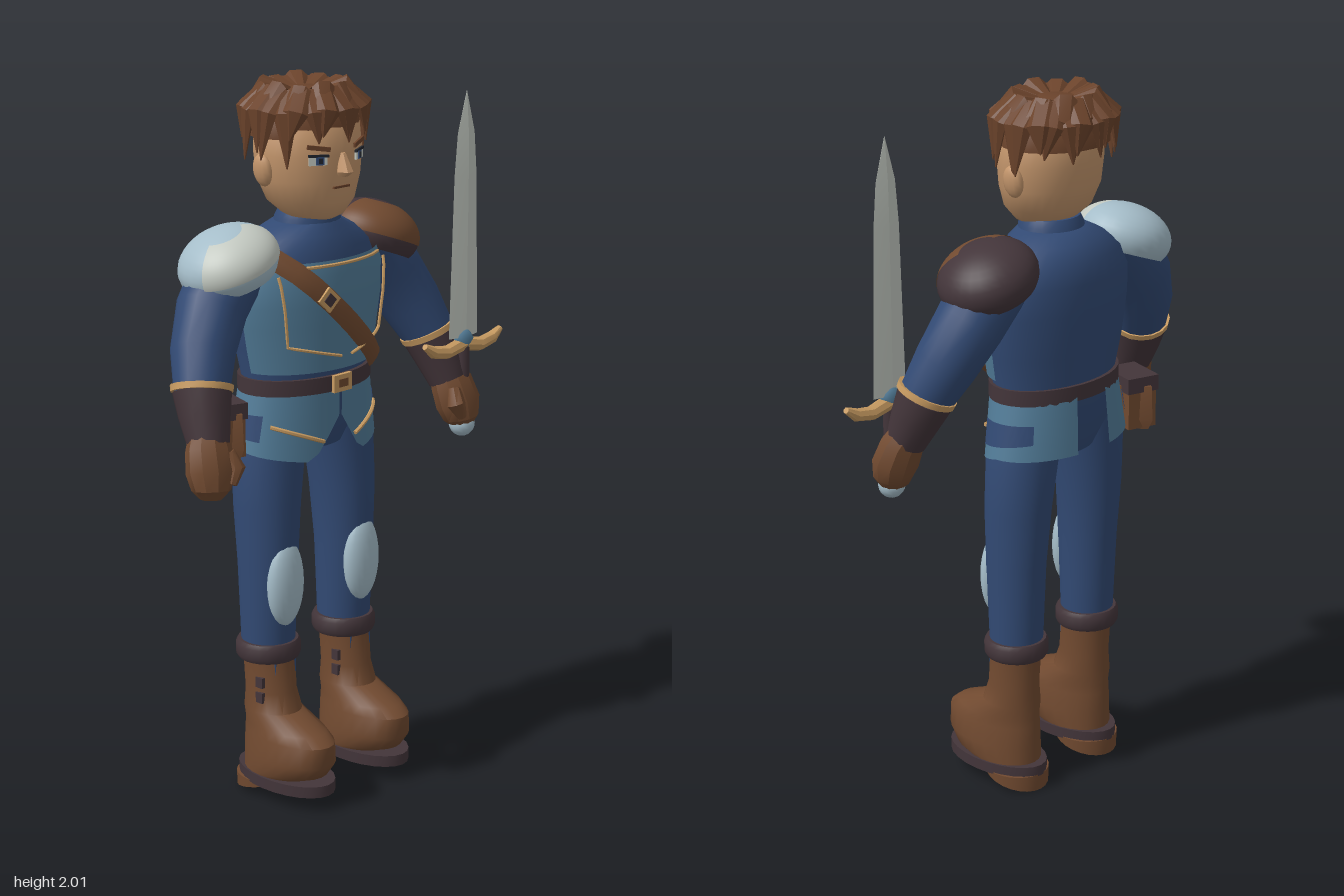
import * as THREE from 'three';
import { toCreasedNormals } from 'three/addons/utils/BufferGeometryUtils.js';

const V = (x, y, z) => new THREE.Vector3(x, y, z);
const { lerp, clamp } = THREE.MathUtils;

export function createModel() {
  const mat = {};
  const colours = {
    skin: 0xc4966c, hair: 0x6b432b, leather: 0x714a30, darkLeather: 0x43353a, navyCloth: 0x324a74,
    blueSteel: 0x527c98, paleSteel: 0xa5bdc9, bladeSteel: 0xc3c9c1, gold: 0xc99c62, ink: 0x20242c };
  for (const name in colours) {
    mat[name] = new THREE.MeshStandardMaterial({ color: colours[name], side: THREE.DoubleSide });
    mat[name].name = name;
  }
  const model = new THREE.Group();
  model.name = 'swordsman';
  const body = new THREE.Group();
  body.name = 'body';
  body.position.x = -0.05;
  model.add(body);

  const add = (name, geo, colour, pos, rot) => {
    const m = new THREE.Mesh(geo, mat[colour]);
    m.name = name;
    if (pos) m.position.set(...pos);
    if (rot) m.rotation.set(...rot);
    body.add(m);
    return m;
  };
  const box = (name, size, colour, pos, rot) => add(name, new THREE.BoxGeometry(...size), colour, pos, rot);

  // Skin a list of rings; closed rings get end caps
  function loft(rings, closed = true, crease = 0.75) {
    const n = rings[0].length, pts = rings.flat(), idx = [];
    for (let i = 0; i < rings.length - 1; i++) {
      for (let j = 0; j < (closed ? n : n - 1); j++) {
        const k = (j + 1) % n, a = i * n + j, b = i * n + k;
        idx.push(a, a + n, b, b, a + n, b + n);
      }
    }
    if (closed) [0, rings.length - 1].forEach((r, top) => {
      const c = V(0, 0, 0);
      rings[r].forEach(p => c.addScaledVector(p, 1 / n));
      const ci = pts.push(c) - 1;
      for (let j = 0; j < n; j++) {
        const a = r * n + j, b = r * n + (j + 1) % n;
        idx.push(ci, top ? b : a, top ? a : b);
      }
    });
    const g = new THREE.BufferGeometry().setFromPoints(pts);
    g.setIndex(idx);
    return toCreasedNormals(g, crease);
  }
  // Level ellipse; row = [y, rx, zCentre, rz]
  const ring = ([y, rx, zc, rz], cx = 0, n = 24, a0 = 0, a1 = Math.PI * 2) => {
    const full = a1 - a0 > 6.28;
    return Array.from({ length: full ? n : n + 1 }, (_, j) => {
      const a = lerp(a0, a1, j / n);
      return V(cx + rx * Math.cos(a), y, zc + rz * Math.sin(a));
    });
  };
  const stack = (rows, cx = 0, n = 24) => loft(rows.map(r => ring(r, cx, n)));
  // Elliptical section carried along points
  function sweep(pts, radii, n = 16, u = V(1, 0, 0), crease = 0.75) {
    return loft(pts.map((p, i) => {
      const t = pts[Math.min(i + 1, pts.length - 1)].clone().sub(pts[Math.max(i - 1, 0)]).normalize();
      const v = u.clone().cross(t).normalize(), w = t.clone().cross(v);
      const [ru, rv] = [].concat(radii[i] ?? radii[0], radii[i] ?? radii[0]);
      const rr = Array.isArray(radii[i] ?? radii[0]) ? (radii[i] ?? radii[0]) : [ru, rv];
      return Array.from({ length: n }, (_, j) => {
        const a = j / n * Math.PI * 2;
        return p.clone().addScaledVector(w, rr[0] * Math.cos(a)).addScaledVector(v, rr[1] * Math.sin(a));
      });
    }), true, crease);
  }
  // Interpolated row and front surface point of a stack
  const rowAt = (rows, y) => {
    let i = 0;
    while (i < rows.length - 2 && rows[i + 1][0] < y) i++;
    const t = clamp((y - rows[i][0]) / (rows[i + 1][0] - rows[i][0]), 0, 1);
    return rows[i].map((v, k) => lerp(v, rows[i + 1][k], t));
  };
  const onFront = (rows, x, y, off) => {
    const [, rx, zc, rz] = rowAt(rows, y);
    return V(x, y, zc + rz * Math.sqrt(Math.max(0.02, 1 - (x / rx) ** 2)) + off);
  };
  const drape = (rows, path, off) => {
    const out = [];
    for (let i = 0; i < path.length - 1; i++) for (let k = i ? 1 : 0; k <= 8; k++)
      out.push(onFront(rows, lerp(path[i][0], path[i + 1][0], k / 8), lerp(path[i][1], path[i + 1][1], k / 8), off));
    return out;
  };

  // Torso, collar, chest plate
  const torso = [[1.0, .13, -.05, .09], [1.08, .19, -.05, .12], [1.2, .205, -.045, .13], [1.3, .225, -.05, .14],
    [1.42, .247, -.05, .145], [1.5, .247, -.05, .145], [1.56, .22, -.05, .135], [1.6, .16, -.045, .115], [1.63, .1, -.035, .088]];
  add('torso', stack(torso, 0, 32), 'navyCloth');
  add('collar', stack([[1.6, .1, -.035, .09], [1.64, .095, -.032, .085], [1.66, .085, -.03, .078]]), 'navyCloth');
  const plateRows = [1.235, 1.3, 1.36, 1.42, 1.5, 1.54].map(y => {
    const r = rowAt(torso, y);
    return ring([y, r[1] + .008, r[2], r[3] + .02], 0, 28, .12, Math.PI - .12);
  });
  add('chestPlate', loft(plateRows, false), 'blueSteel');
  for (const s of [-1, 1])
    add('chestTrim', sweep(drape(torso, [[s * .2, 1.51], [s * .175, 1.315], [s * .02, 1.275]], .03), [.0045], 6, V(.1, .2, 1)), 'gold');
  add('chestTopTrim', sweep(drape(torso, [[-.17, 1.528], [.17, 1.528]], .022), [.005], 6, V(0, 1, 0)), 'gold');

  // Shoulder strap with buckle
  add('strap', sweep(drape(torso, [[-.2, 1.56], [.155, 1.23]], .03), [[.03, .007]], 8, V(.68, .73, 0)), 'leather');
  const bk = onFront(torso, -.075, 1.44, .038);
  box('strapBuckle', [.05, .05, .008], 'gold', bk.toArray(), [0, -.15, .8]);
  box('strapBuckleHole', [.028, .028, .008], 'darkLeather', [bk.x, bk.y, bk.z + .003], [0, -.15, .8]);

  // Belt
  add('belt', stack([[1.172, .217, -.045, .143], [1.216, .217, -.045, .143]], 0, 32), 'darkLeather');
  box('beltBuckle', [.068, .048, .012], 'gold', [0, 1.193, .1]);
  box('beltBuckleHole', [.036, .022, .008], 'leather', [0, 1.193, .104]);

  // Hip plates, their trim and side patches
  const hips = [[.98, .25, -.055, .147], [1.19, .212, -.045, .142]];
  const hipShell = (s, a0, a1, top, bottom, off) => loft([0, .5, 1].map(t => Array.from({ length: 21 }, (_, j) => {
    const a = lerp(a0, a1, j / 20), y = lerp(bottom(a), top, t), [, rx, zc, rz] = rowAt(hips, y);
    return V(s * (rx + off) * Math.cos(a), y, zc + (rz + off) * Math.sin(a));
  })), false);
  const hem = a => a > 1.2 ? lerp(.98, 1.1, (a - 1.2) / .35) : lerp(1.02, .98, clamp(a / 1.2, 0, 1));
  for (const s of [-1, 1]) {
    add('hipPlate', hipShell(s, -1.3, 1.55, 1.185, hem, 0), 'blueSteel');
    add('hipPatch', hipShell(s, -.65, .4, 1.12, a => 1.055 - a * .02, .005), 'navyCloth');
    add('hipTrim', sweep(drape(hips, [[s * .2, 1.09], [s * .06, 1.035]], .004), [.006], 6, V(0, 1, 0)), 'gold');
  }

  // Belt pouch
  add('pouch', stack([[1.0, .05, -.1, .07], [1.03, .062, -.1, .085], [1.13, .058, -.1, .08]], -.26, 4).rotateY(0), 'leather');
  box('pouchBody', [.09, .14, .12], 'leather', [-.265, 1.075, -.1], [0, -.3, 0]);
  box('pouchFlap', [.1, .045, .13], 'darkLeather', [-.265, 1.135, -.1], [0, -.3, 0]);

  for (const s of [-1, 1]) {
    // Leg and knee pad
    const leg = [[.42, .15, .075, .075, -.04], [.55, .15, .079, .08, -.04], [.68, .15, .082, .087, -.04], [.85, .147, .092, .096, -.045],
      [1.0, .135, .103, .1, -.05], [1.1, .115, .1, .1, -.05]];
    add('leg', loft(leg.map(([y, cx, rx, rz, zc]) => ring([y, rx, zc, rz], s * cx))), 'navyCloth');
    add('kneePad', new THREE.SphereGeometry(1, 20, 14), 'paleSteel', [s * .15, .633, .03]).scale.set(.063, .126, .036);

    // Boot, cuff, sole, heel wedge
    const bx = s * .15;
    add('boot', stack([[.06, .085, -.01, .1], [.09, .095, .03, .14], [.13, .097, .045, .155], [.19, .09, .045, .155],
      [.215, .084, .03, .138], [.255, .075, -.022, .088], [.31, .069, -.03, .075], [.42, .073, -.038, .072]], bx), 'leather');
    add('bootCuff', stack([[.403, .085, -.04, .085], [.415, .092, -.04, .091], [.445, .092, -.04, .091], [.457, .085, -.04, .085]], bx), 'darkLeather');
    add('sole', stack([[.045, .096, .032, .168], [.078, .097, .032, .168]], bx), 'darkLeather');
    const heel = ring([0, .088, -.04, .094], bx);
    heel.forEach(p => { p.y = (p.z + .134) * .24; });
    add('heelWedge', loft([heel, ring([.05, .09, -.04, .095], bx)]), 'leather');
    for (let i = 0; i < 4; i++)
      box('lace', [.011, .05 - (i % 2) * .012, .008], 'navyCloth', [bx - .033 + i * .023, .378, .031 - Math.abs(i - 1.5) * .005]);
    for (const y of [.3, .345]) box('bootClasp', [.012, .03, .025], 'darkLeather', [bx - .066, y, -.005]);

    // Sleeve, bracer, glove
    add('sleeve', sweep([V(s * .2, 1.56, -.06), V(s * .27, 1.52, -.06), V(s * .34, 1.43, -.05), V(s * .4, 1.33, -.02), V(s * .443, 1.23, .02)],
      [.085, .1, .096, .088, .074]), 'navyCloth');
    add('bracerTrim', sweep([V(s * .435, 1.252, .013), V(s * .44, 1.236, .018)], [.085, .083]), 'gold');
    add('bracer', sweep([V(s * .438, 1.24, .017), V(s * .452, 1.18, .04), V(s * .465, 1.105, .07)], [.08, .07, .056]), 'darkLeather');
    add('glove', sweep([V(s * .462, 1.135, .06), V(s * .472, 1.095, .077), V(s * .482, 1.04, .094), V(s * .488, .995, .102), V(s * .49, .972, .104)],
      [.05, [.066, .056], [.07, .06], [.054, .05], [.03, .03]], 10, V(1, 0, 0), .5), 'leather');
    add('thumb', sweep([V(s * .44, 1.09, .115), V(s * .43, 1.05, .135), V(s * .45, 1.01, .14)], [.02, .026, .014], 8), 'leather');

    // Pauldron with a worn front patch
    const [base, worn, p0, p1] = s < 0 ? ['paleSteel', 'bladeSteel', .1, .9] : ['darkLeather', 'leather', .02, .72];
    const dome = (r, ph0, ph1, th0, th1) => new THREE.SphereGeometry(r, 28, 12, ph0 * Math.PI, ph1 * Math.PI, th0 * Math.PI, th1 * Math.PI);
    for (const [name, g, c] of [['pauldron', dome(1, 0, 2, 0, .66), base], ['pauldronPatch', dome(1.012, p0, p1 - p0, .14, .38), worn]])
      add(name, g, c, [s * .272, 1.545, -.055], [0, 0, -s * .35]).scale.set(.142, .095, .135);
  }

  // Head, ears, nose
  const head = [[1.637, .045, .0, .05], [1.65, .085, -.008, .08], [1.69, .128, -.02, .112], [1.75, .152, -.028, .127], [1.82, .16, -.03, .132],
    [1.89, .155, -.035, .13], [1.94, .12, -.04, .1], [1.965, .04, -.04, .04]];
  add('head', stack(head, 0, 28), 'skin');
  for (const s of [-1, 1])
    add('ear', new THREE.SphereGeometry(1, 12, 10), 'skin', [s * .158, 1.78, -.04], [0, 0, -s * .15]).scale.set(.02, .045, .032);
  add('nose', stack([[1.762, .013, .1, .018], [1.775, .021, .104, .032], [1.825, .009, .096, .014]], 0, 6), 'skin');

  // Eyes, brows, mouth
  for (const s of [-1, 1]) {
    const put = (name, w, h, colour, x, y, off, tilt = 0) =>
      box(name, [w, h, .006], colour, onFront(head, s * x, y, off).toArray(), [0, s * .43, s * tilt]);
    put('eyeWhite', .052, .024, 'bladeSteel', .077, 1.81, .001);
    put('upperLid', .058, .007, 'ink', .077, 1.823, .003, .05);
    put('iris', .022, .022, 'navyCloth', .074, 1.81, .004);
    put('pupil', .011, .014, 'ink', .074, 1.81, .007);
    put('brow', .066, .012, 'hair', .075, 1.843, .003, .15);
  }
  box('mouth', [.06, .006, .006], 'hair', onFront(head, 0, 1.733, 0).toArray());

  // Hair cap and locks
  add('hairCap', stack([[1.865, .163, -.045, .14], [1.92, .16, -.045, .138], [1.96, .128, -.045, .11], [1.985, .06, -.045, .05]], 0, 20), 'hair');
  const lock = (a, twist, reach, tipY, w, lift) => {
    const at = (r, da, y) => V(.165 * r * Math.cos(a + da), y, -.045 + .147 * r * Math.sin(a + da));
    const u = V(-Math.sin(a), 0, Math.cos(a));
    add('hairLock', sweep([at(.2, 0, 1.972), at(.72, 0, 1.968 + lift), at(reach, twist * .4, 1.93 + lift * .5), at(reach + .02, twist, tipY)],
      [[.015, .008], [w, .018], [w, .017], [.002, .002]], 6, u, .3), 'hair');
  };
  for (let i = 0; i < 24; i++) {
    const a = i / 24 * Math.PI * 2, f = Math.sin(a), vary = ((i * 7) % 5) / 5;
    const tip = f > .5 ? 1.85 + vary * .03 : f > -.5 ? 1.79 + vary * .05 : 1.835 + vary * .04;
    lock(a, (i % 2 ? .16 : -.05), 1.02 + vary * .08, tip, .034, .01 + vary * .012);
  }
  for (let i = 0; i < 11; i++)
    lock(i / 11 * Math.PI * 2 + .1, .3, .95, 1.9 + (i % 3) * .012, .032, .022 + (i % 2) * .008);

  // Sword
  const sx = .487, sz = .105;
  add('blade', loft([[1.235, .06, sz, .013], [1.7, .046, sz, .012], [1.82, .035, sz, .01], [1.937, .001, sz, .001]]
    .map(r => ring(r, sx, 4)), true, .1), 'bladeSteel');
  const guard = [[-.16, 1.232], [-.125, 1.21], [-.07, 1.2], [0, 1.215], [.07, 1.2], [.125, 1.21], [.16, 1.232]];
  add('crossGuard', sweep(guard.map(([x, y]) => V(sx + x, y, sz)), [.009, .018, .02, .022, .02, .018, .009], 8, V(0, 1, 0)), 'gold');
  add('guardGem', new THREE.OctahedronGeometry(.034, 1), 'blueSteel', [sx, 1.23, sz]).scale.z = .8;
  add('grip', new THREE.CylinderGeometry(.02, .02, .24, 12), 'darkLeather', [sx, 1.09, sz]);
  add('pommel', new THREE.SphereGeometry(.038, 14, 10), 'paleSteel', [sx, .978, sz]);

  return model;
}
